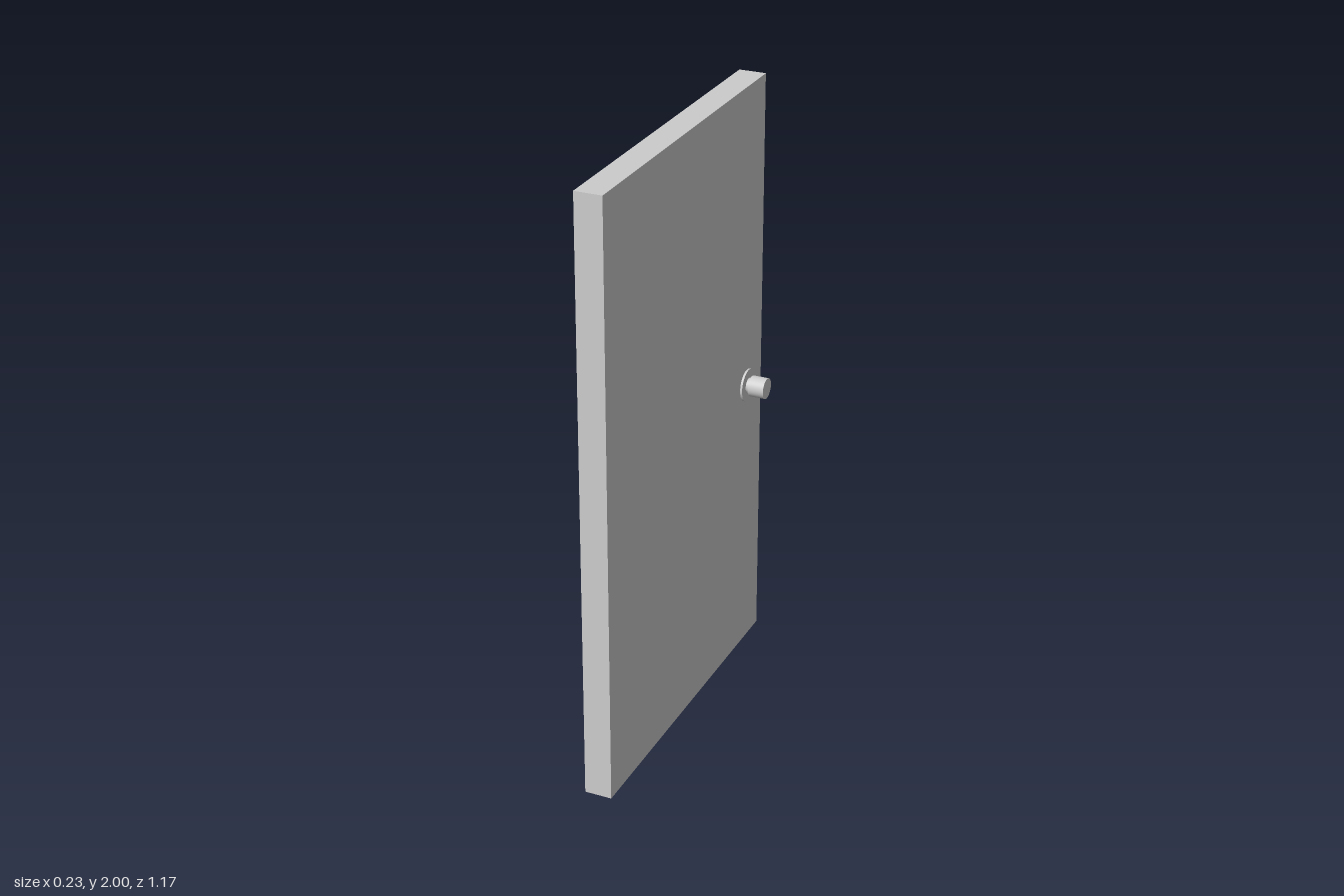
import * as THREE from 'three';

const material = new THREE.MeshStandardMaterial({ color: 0xcccccc });

// A capped cylinder lying along x, from x0 to x1
function disc(name, radius, x0, x1) {
  const geometry = new THREE.CylinderGeometry(radius, radius, x1 - x0, 32);
  geometry.rotateZ(-Math.PI / 2);
  geometry.translate((x0 + x1) / 2, 0, 0);
  const mesh = new THREE.Mesh(geometry, material);
  mesh.name = name;
  return mesh;
}

// Rosette, neck and grip, pointing along +x
function createKnob(name) {
  const knob = new THREE.Group();
  knob.name = name;
  knob.add(
    disc('rosette', 0.055, 0.04, 0.052),
    disc('neck', 0.025, 0.05, 0.065),
    disc('grip', 0.035, 0.063, 0.117),
  );
  return knob;
}

export function createModel() {
  const door = new THREE.Group();
  door.name = 'door';

  // Plain slab
  const panel = new THREE.Mesh(new THREE.BoxGeometry(0.09, 2, 1.17), material);
  panel.name = 'panel';
  panel.position.y = 1;
  door.add(panel);

  // One knob on each face
  for (const [name, angle] of [['leftKnob', 0], ['rightKnob', Math.PI]]) {
    const knob = createKnob(name);
    knob.position.set(0, 0.97, -0.465);
    knob.rotation.y = angle;
    door.add(knob);
  }
  return door;
}
